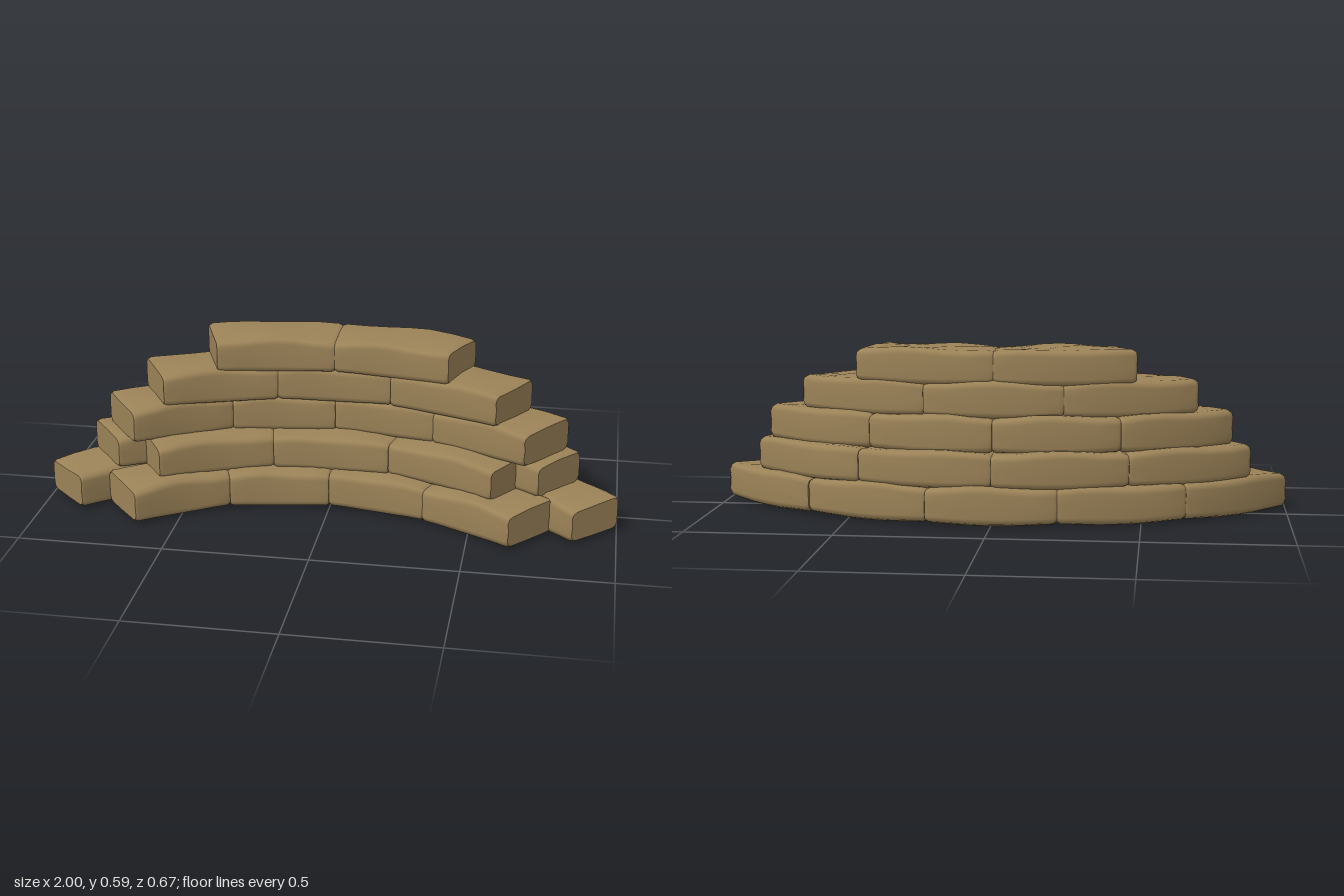
import * as THREE from 'three';

const ARC_Z = 1.08; // centre of the arc the wall follows

// Rounded-rectangle cross-section, counter-clockwise, in the range -1..1
const section = [];
for (const [sx, sy, start] of [[1, 1, 0], [-1, 1, 1], [-1, -1, 2], [1, -1, 3]]) {
  for (let k = 0; k < 3; k++) {
    const a = (start + k / 2) * Math.PI / 2;
    section.push([sx * 0.8 + 0.2 * Math.cos(a), sy * 0.62 + 0.38 * Math.sin(a)]);
  }
  section.push([sx * (start % 2 ? 0.97 : 0), sy * (start % 2 ? 0 : 1.02)]);
}

// Stations along a bag: position, width scale, height scale
const stations = [
  [-1, 0.95, 0.82], [-0.94, 0.99, 0.91], [-0.65, 1, 0.94], [-0.3, 1, 0.99], [0, 1, 1],
  [0.3, 1, 0.99], [0.65, 1, 0.94], [0.94, 0.99, 0.91], [1, 0.95, 0.82],
];

// One plump bag bent along the arc between two angles
function bagGeometry(a0, a1, r0, r1, y0, y1, seed) {
  const n = section.length, pos = [], idx = [];
  const twist = 0.008 * Math.sin(seed * 2.3);
  const rings = stations.map(([t, sw, sh]) => section.map(([u, v]) => {
    const a = (a0 + a1) / 2 + t * (a1 - a0) / 2;
    const r = (r0 + r1) / 2 + u * sw * (r1 - r0) / 2 + twist * t;
    const wave = 0.004 * Math.sin(seed * 1.7 + t * 4 + u * 2);
    const y = (y0 + y1) / 2 + v * sh * (y1 - y0) / 2 + (v > 0 ? wave : 0);
    return [r * Math.sin(a), Math.max(0, y), ARC_Z - r * Math.cos(a)];
  }));
  rings.forEach(ring => ring.forEach(p => pos.push(...p)));
  for (let i = 0; i < rings.length - 1; i++) {
    for (let j = 0; j < n; j++) {
      const a = i * n + j, b = i * n + (j + 1) % n;
      idx.push(a, b, a + n, b, b + n, a + n);
    }
  }
  // Flat ends with their own corners, so the rims stay sharp
  for (const [ring, flip] of [[rings[0], true], [rings[rings.length - 1], false]]) {
    const base = pos.length / 3;
    ring.forEach(p => pos.push(...p));
    for (let j = 1; j < n - 1; j++) {
      if (flip) idx.push(base, base + j + 1, base + j);
      else idx.push(base, base + j, base + j + 1);
    }
  }
  const g = new THREE.BufferGeometry();
  g.setAttribute('position', new THREE.Float32BufferAttribute(pos, 3));
  g.setIndex(idx);
  g.computeVertexNormals();
  return g;
}

export function createModel() {
  const model = new THREE.Group();
  model.name = 'sandbagWall';
  const burlap = new THREE.MeshStandardMaterial({ color: 0x9c8358 });
  burlap.name = 'burlap';

  // Rows: name, bag count, half angle in degrees, inner and outer radius, bottom and top
  const rows = [
    ['bottomBackRow', 5, 45.7, 1.19, 1.41, 0.003, 0.135],
    ['bottomFrontRow', 4, 40.5, 0.975, 1.2, 0.003, 0.137],
    ['secondBackRow', 4, 38.6, 1.17, 1.395, 0.122, 0.25],
    ['secondFrontRow', 3, 33.8, 1.03, 1.25, 0.122, 0.25],
    ['thirdRow', 4, 36.9, 1.115, 1.36, 0.235, 0.367],
    ['fourthRow', 3, 31, 1.105, 1.333, 0.352, 0.48],
    ['topRow', 2, 21.2, 1.1, 1.325, 0.462, 0.588],
  ];
  let seed = 1;
  for (const [name, count, half, r0, r1, y0, y1] of rows) {
    const row = new THREE.Group();
    row.name = name;
    const h = THREE.MathUtils.degToRad(half), step = 2 * h / count;
    for (let i = 0; i < count; i++) {
      const a = -h + i * step;
      const bag = new THREE.Mesh(bagGeometry(a, a + step, r0, r1, y0, y1, seed++), burlap);
      bag.name = 'sandbag';
      row.add(bag);
    }
    model.add(row);
  }
  return model;
}
